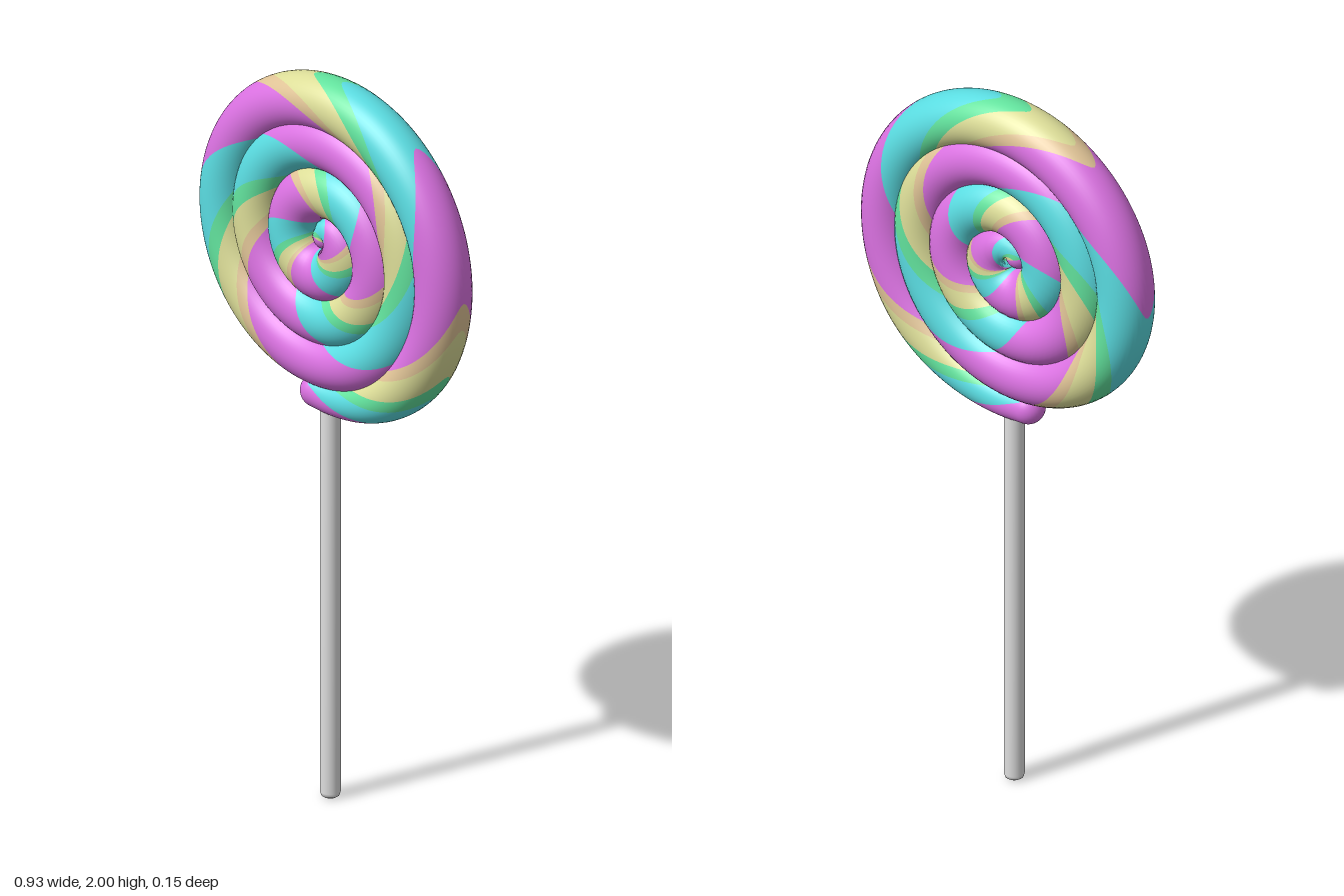
import * as THREE from 'three';

const mat = (name, color) => {
  const m = new THREE.MeshStandardMaterial({ color });
  m.name = name;
  return m;
};

// Spiral centre, and centreline radius at each quarter turn, from the tail inwards
const CX = -0.022, CY = 1.538;
const RADII = [0.433, 0.424, 0.413, 0.388, 0.371, 0.325, 0.302, 0.28, 0.25, 0.207,
  0.185, 0.147, 0.12, 0.085, 0.06, 0.035, 0.012];
const START = -0.07; // quarter turns measured from straight down

function spiralCurve() {
  const profile = new THREE.SplineCurve(RADII.map((r, i) => new THREE.Vector2(i - 1, r)));
  const end = RADII.length - 2.5, steps = 140, points = [];
  for (let i = 0; i <= steps; i++) {
    const q = START + (end - START) * i / steps;
    const r = profile.getPoint((q + 1) / (RADII.length - 1)).y;
    const a = (q - 1) * Math.PI / 2;
    points.push(new THREE.Vector3(CX + r * Math.cos(a), CY + r * Math.sin(a), 0));
  }
  const curve = new THREE.CatmullRomCurve3(points);
  curve.arcLengthDivisions = 2000;
  return curve;
}

export function createModel() {
  const group = new THREE.Group();
  const white = mat('stick white', 0xdedede);
  const pink = mat('candy pink', 0xdb72e2);
  const cyan = mat('candy cyan', 0x5adce1);
  const green = mat('candy green', 0x62e29d);
  const yellow = mat('candy yellow', 0xdcdd98);
  const tan = mat('candy tan', 0xdfc396);

  const { smoothstep, lerp, clamp } = THREE.MathUtils;
  const curve = spiralCurve();
  const length = curve.getLength();

  // Rope thickness, tapering at the tail and at the middle
  const thickness = (s) => 0.0745
    - 0.03 * (1 - smoothstep(s, -0.05, 0.5))
    - 0.04 * smoothstep(s, length - 0.12, length);

  // Stripes shorten towards the middle of the spiral
  const stripeScale = (u) => {
    const p = curve.getPointAt(clamp(u / length, 0, 1));
    const r = Math.hypot(p.x - CX, p.y - CY);
    return Math.max(0.15, lerp(2.4 * r, 1, smoothstep(r, 0.2, 0.33)));
  };
  const SWEEP = 0.145, SIDES = 48;
  const sweepAt = (u) => SWEEP * stripeScale(u) * Math.min(1, thickness(Math.min(u, length / 2)) / 0.0745);

  // One stripe of the rope: its edges sweep back from the rim on both faces
  function stripe(u0, u1) {
    const columns = Math.max(2, Math.ceil((u1 - u0) / 0.02));
    const pos = [], nor = [], index = [];
    for (let i = 0; i <= columns; i++) {
      const u = u0 + (u1 - u0) * i / columns;
      const sweep = sweepAt(u);
      for (let j = 0; j <= SIDES; j++) {
        const psi = (j / SIDES * 2 - 1) * Math.PI;
        const s = clamp(u - sweep * (Math.hypot(psi, 0.25) - 0.25), 0, length);
        const p = curve.getPointAt(s / length), t = curve.getTangentAt(s / length);
        const n = [t.y * Math.cos(psi), -t.x * Math.cos(psi), Math.sin(psi)];
        const r = thickness(s);
        pos.push(p.x + n[0] * r, p.y + n[1] * r, n[2] * r);
        nor.push(...n);
        if (i < columns && j < SIDES) {
          const a = i * (SIDES + 1) + j, b = a + SIDES + 1;
          index.push(a, b, b + 1, a, b + 1, a + 1);
        }
      }
    }
    const g = new THREE.BufferGeometry();
    g.setAttribute('position', new THREE.Float32BufferAttribute(pos, 3));
    g.setAttribute('normal', new THREE.Float32BufferAttribute(nor, 3));
    g.setIndex(index);
    return g;
  }

  // Repeating colours along the rope
  const candy = new THREE.Group();
  candy.name = 'candySpiral';
  const bands = [['green', green, 0.085], ['yellow', yellow, 0.13], ['tan', tan, 0.065],
    ['pink', pink, 0.365], ['cyan', cyan, 0.245]];
  const last = length + sweepAt(length) * Math.PI;
  const addStripe = (name, material, a, b) => {
    const m = new THREE.Mesh(stripe(a, b), material);
    m.name = name + 'Stripe';
    candy.add(m);
  };
  addStripe('pink', pink, 0, 0.23);
  addStripe('cyan', cyan, 0.23, 0.405);
  let u = 0.405;
  for (let k = 0; u < last; k++) {
    const [name, material, width] = bands[k % bands.length];
    const next = Math.min(u + width * stripeScale(u), last);
    addStripe(name, material, u, next);
    u = next;
  }

  // Rounded ends of the rope
  for (const [name, s] of [['tailEnd', 0], ['middleEnd', length]]) {
    const cap = new THREE.Mesh(new THREE.SphereGeometry(thickness(s), 32, 20), pink);
    cap.name = name;
    cap.position.copy(curve.getPointAt(s / length));
    candy.add(cap);
  }
  group.add(candy);

  // Stick with a softened foot
  const R = 0.027;
  const profile = [[0, 0], [R * 0.6, 0], [R * 0.88, 0.005], [R, 0.015], [R, 1.11], [0, 1.11]]
    .map(([x, y]) => new THREE.Vector2(x, y));
  const stick = new THREE.Mesh(new THREE.LatheGeometry(profile, 32), white);
  stick.name = 'stick';
  stick.position.x = CX;
  group.add(stick);

  return group;
}
